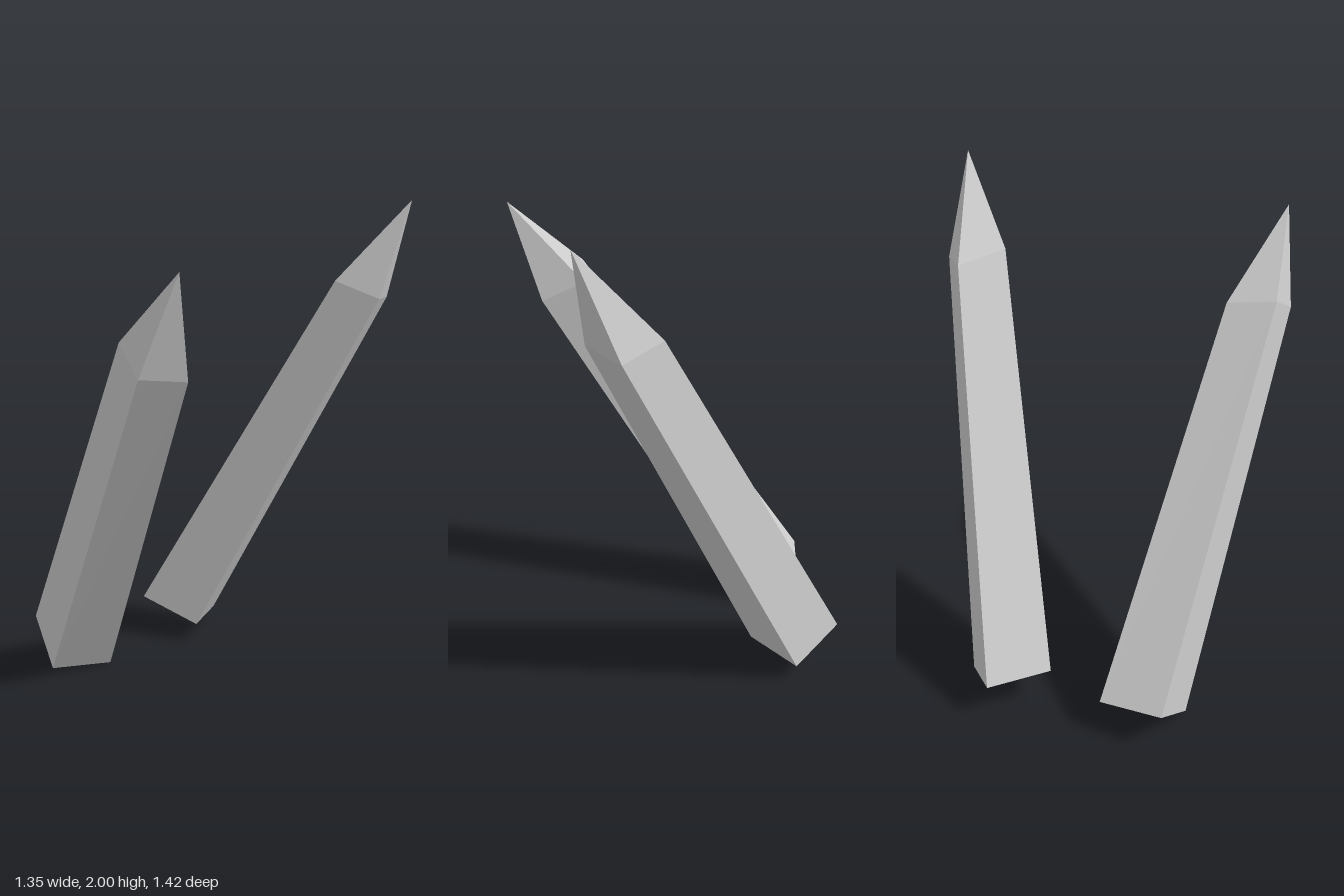
import * as THREE from 'three';

// Four-sided spike: an open square base ring, a narrower shoulder ring and a tip.
// Rings run counterclockwise seen from above.
function makeSpike(name, base, shoulder, tip) {
  const positions = [];
  const face = (...corners) => corners.forEach((c) => positions.push(...c));
  for (let i = 0; i < 4; i++) {
    const j = (i + 1) % 4;
    // shaft side
    face(base[i], base[j], shoulder[j]);
    face(base[i], shoulder[j], shoulder[i]);
    // pointed end
    face(shoulder[i], shoulder[j], tip);
  }
  const geometry = new THREE.BufferGeometry();
  geometry.setAttribute('position', new THREE.Float32BufferAttribute(positions, 3));
  geometry.computeVertexNormals();
  const material = new THREE.MeshStandardMaterial({
    color: 0xcccccc, flatShading: true, side: THREE.DoubleSide,
  });
  const mesh = new THREE.Mesh(geometry, material);
  mesh.name = name;
  return mesh;
}

export function createModel() {
  const group = new THREE.Group();
  group.name = 'spikes';

  // spike leaning forward
  group.add(makeSpike('rightSpike',
    [[-0.385, 0.003, -0.345], [-0.365, 0.16, -0.572], [-0.632, 0.19, -0.576], [-0.652, 0.035, -0.35]],
    [[-0.48, 1.44, 0.565], [-0.465, 1.53, 0.382], [-0.663, 1.57, 0.4], [-0.675, 1.47, 0.57]],
    [-0.588, 1.845, 0.71]));

  // spike leaning forward and outward
  group.add(makeSpike('leftSpike',
    [[0.045, 0.09, -0.345], [0.24, 0.072, -0.53], [0.072, 0.175, -0.712], [-0.125, 0.195, -0.53]],
    [[0.53, 1.615, 0.298], [0.672, 1.595, 0.16], [0.543, 1.64, 0.015], [0.408, 1.68, 0.165]],
    [0.655, 2.0, 0.325]));

  return group;
}
